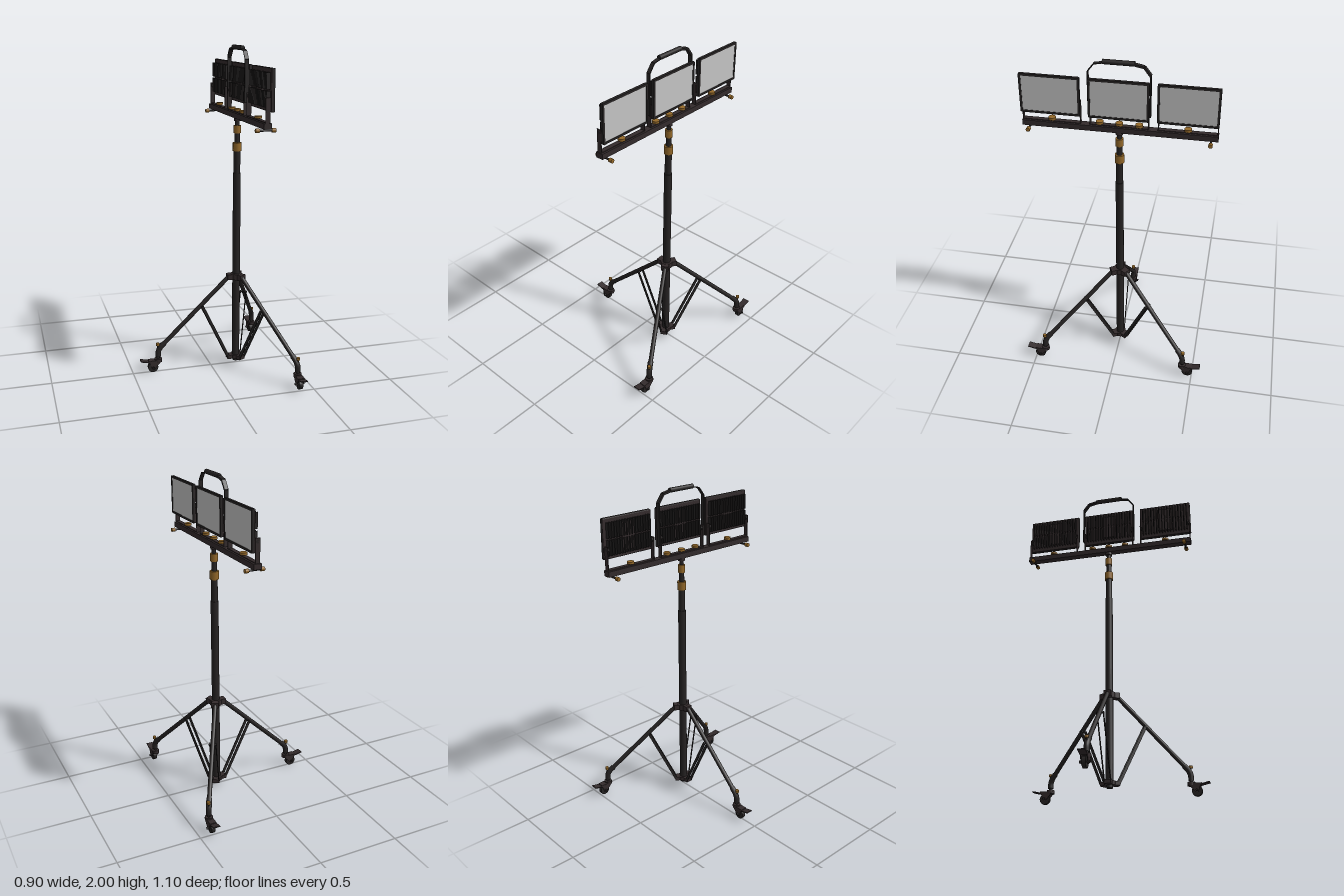
import * as THREE from 'three';
import { RoundedBoxGeometry } from 'three/addons/geometries/RoundedBoxGeometry.js';

const material = (name, color, side = THREE.FrontSide) => {
  const m = new THREE.MeshStandardMaterial({ color, side });
  m.name = name;
  return m;
};
const black = material('black metal', 0x262323);
const brown = material('dark bracket', 0x332b2c);
const brass = material('brass knob', 0x94692a);
const glass = material('lamp glass', 0xc6c6c6);

const V = (x, y, z) => new THREE.Vector3(x, y, z);

function add(parent, name, geometry, mat, x = 0, y = 0, z = 0) {
  const mesh = new THREE.Mesh(geometry, mat);
  mesh.name = name;
  mesh.position.set(x, y, z);
  parent.add(mesh);
  return mesh;
}
const box = (p, name, mat, w, h, d, x, y, z) => add(p, name, new THREE.BoxGeometry(w, h, d), mat, x, y, z);

// Upright cylinder between two heights
const post = (p, name, mat, r, y0, y1, x = 0, z = 0, sides = 20) =>
  add(p, name, new THREE.CylinderGeometry(r, r, y1 - y0, sides), mat, x, (y0 + y1) / 2, z);

// Straight member from a to b, round or flat
function member(p, name, mat, a, b, w, h = 0) {
  const len = a.distanceTo(b);
  const g = h ? new THREE.BoxGeometry(w, h, len)
    : new THREE.CylinderGeometry(w, w, len, 14).rotateX(Math.PI / 2);
  const mesh = new THREE.Mesh(g, mat);
  mesh.name = name;
  mesh.position.copy(a).lerp(b, 0.5);
  mesh.lookAt(b);
  p.add(mesh);
}

// Wheel, fork and brake, rolling outward along +z
function caster() {
  const g = new THREE.Group();
  g.name = 'caster';
  post(g, 'swivelPlate', brown, 0.024, 0.066, 0.088);
  post(g, 'swivelStem', black, 0.01, 0.085, 0.11);
  const wheel = new THREE.CylinderGeometry(0.032, 0.032, 0.022, 20).rotateZ(Math.PI / 2);
  add(g, 'wheel', wheel, black, 0, 0.034, 0.034);
  const axle = new THREE.CylinderGeometry(0.007, 0.007, 0.06, 10).rotateZ(Math.PI / 2);
  add(g, 'axle', axle, black, 0, 0.036, 0.034);
  // Tapered fork cheeks
  const cheek = new THREE.Shape([[-0.02, 0.078], [0.062, 0.078], [0.05, 0.05], [0.042, 0.024], [0.027, 0.024]]
    .map(([z, y]) => new THREE.Vector2(-z, y)));
  const cheekGeo = new THREE.ExtrudeGeometry(cheek, { depth: 0.005, bevelEnabled: false })
    .rotateY(Math.PI / 2).translate(-0.0025, 0, 0);
  for (const s of [-1, 1]) add(g, 'fork', cheekGeo, brown, s * 0.018, 0, 0);
  box(g, 'forkTop', brown, 0.04, 0.008, 0.075, 0, 0.076, 0.025);
  member(g, 'brakePedal', brown, V(0, 0.07, 0.055), V(0, 0.083, 0.112), 0.042, 0.006);
  return g;
}

// One tripod leg, pointing outward along local +z
function leg(angle, casterAngle) {
  const g = new THREE.Group();
  g.name = 'leg';
  g.rotation.y = angle;
  box(g, 'upperHinge', brown, 0.045, 0.034, 0.06, 0, 0.583, 0.03);
  box(g, 'lowerHinge', brown, 0.045, 0.024, 0.058, 0, 0.048, 0.029);
  member(g, 'legTube', black, V(0, 0.585, 0.045), V(0, 0.165, 0.485), 0.0135);
  const bend = new THREE.CatmullRomCurve3([V(0, 0.185, 0.464), V(0, 0.16, 0.49), V(0, 0.133, 0.504), V(0, 0.1, 0.506)]);
  add(g, 'footBend', new THREE.TubeGeometry(bend, 12, 0.017, 12), black);
  post(g, 'footCap', black, 0.017, 0.099, 0.103, 0, 0.506);
  post(g, 'knobStem', black, 0.004, 0.13, 0.175, 0, 0.508, 8);
  post(g, 'footKnob', brass, 0.011, 0.173, 0.188, 0, 0.508, 12);
  // Paired flat braces with a cross pin
  for (const s of [-1, 1]) {
    member(g, 'brace', black, V(s * 0.019, 0.045, 0.05), V(s * 0.019, 0.41, 0.225), 0.004, 0.018);
  }
  member(g, 'bracePin', black, V(-0.024, 0.403, 0.222), V(0.024, 0.403, 0.222), 0.006);
  const c = caster();
  c.position.z = 0.506;
  c.rotation.y = casterAngle - angle;
  g.add(c);
  return g;
}

// Flood lamp facing +x, coordinates relative to the mast axis
function lamp(z) {
  const g = new THREE.Group();
  g.name = 'lamp';
  g.position.z = z;
  const W = 0.335, H = 0.232, y = 1.78;
  add(g, 'housing', new RoundedBoxGeometry(0.012, H, W, 2, 0.005), brown, 0.022, y, 0);
  // Raised rim around the glass
  for (const s of [-1, 1]) {
    box(g, 'rimSide', black, 0.013, H - 0.008, 0.013, 0.029, y, s * (W / 2 - 0.0065));
    box(g, 'rimEdge', black, 0.013, 0.013, W - 0.008, 0.029, y + s * (H / 2 - 0.0065), 0);
  }
  box(g, 'glass', glass, 0.004, H - 0.024, W - 0.024, 0.031, y, 0);
  // Cooling fins with a break across the middle
  const fins = 17;
  for (let i = 0; i < fins; i++) {
    const fz = (i / (fins - 1) - 0.5) * 0.29;
    for (const s of [-1, 1]) box(g, 'coolingFin', black, 0.024, 0.088, 0.005, 0.005, y + s * 0.049, fz);
  }
  box(g, 'driverBox', brown, 0.014, 0.16, 0.09, 0.01, y, 0);
  // U bracket
  box(g, 'bracketBase', brown, 0.028, 0.004, 0.326, 0, 1.61, 0);
  for (const s of [-1, 1]) {
    box(g, 'bracketArm', brown, 0.028, 0.135, 0.004, 0, 1.675, s * 0.162);
    const pivot = new THREE.CylinderGeometry(0.011, 0.011, 0.012, 12).rotateX(Math.PI / 2);
    add(g, 'bracketPivot', pivot, black, 0, 1.725, s * 0.158);
  }
  return g;
}

function wingKnob(p, z) {
  post(p, 'clampStem', brass, 0.009, 1.606, 1.618, 0, z, 12);
  post(p, 'clampKnob', brass, 0.021, 1.615, 1.629, 0, z, 16);
}

export function createModel() {
  const root = new THREE.Group();
  root.name = 'tripodWorkLight';
  const body = new THREE.Group();
  body.name = 'lightStand';
  body.position.x = 0.165;
  root.add(body);

  // Telescopic mast
  post(body, 'mastFoot', black, 0.02, 0.02, 0.05);
  post(body, 'lowerMast', black, 0.0235, 0.035, 1.24);
  post(body, 'upperMast', black, 0.02, 1.24, 1.38);
  post(body, 'lowerCollar', brass, 0.027, 1.375, 1.426, 0, 0, 12);
  post(body, 'innerMast', black, 0.016, 1.42, 1.49);
  post(body, 'upperCollar', brass, 0.0225, 1.483, 1.53, 0, 0, 12);
  post(body, 'mastHead', black, 0.013, 1.525, 1.575);
  post(body, 'headFlange', brown, 0.021, 1.556, 1.576);
  post(body, 'upperHub', brown, 0.036, 0.565, 0.601);
  post(body, 'lowerHub', brown, 0.036, 0.036, 0.06);

  // Legs
  body.add(leg(-Math.PI / 2, -Math.PI / 2), leg(Math.PI / 6, 0), leg(Math.PI * 5 / 6, Math.PI));

  // Crossbar with end bolts
  box(body, 'crossbar', brown, 0.045, 0.032, 1.09, 0, 1.59, 0);
  for (const s of [-1, 1]) {
    const z = s * 0.506;
    member(body, 'endBolt', black, V(-0.05, 1.564, z), V(0.05, 1.564, z), 0.006);
    for (const e of [-1, 1]) {
      member(body, 'endKnob', brass, V(e * 0.036, 1.564, z), V(e * 0.058, 1.564, z), 0.012);
    }
  }

  // Lamps and their clamps
  for (const z of [-0.378, 0, 0.378]) {
    body.add(lamp(z));
    wingKnob(body, z);
  }
  for (const z of [-0.11, 0.11]) wingKnob(body, z);

  // Carry handle: flat straps bent up to a round grip
  const strap = [[0.17, 1.68], [0.17, 1.925], [0.135, 1.972], [0.08, 1.983]];
  for (const s of [-1, 1]) {
    for (let i = 0; i < 3; i++) {
      const [z0, y0] = strap[i], [z1, y1] = strap[i + 1];
      const t = s < 0 && i > 0 ? 0.012 : 0.005;
      if (i === 0) box(body, 'handleStrap', black, 0.024, y1 - y0, t + 0.002, 0, (y0 + y1) / 2, s * z0);
      else member(body, 'handleStrap', black, V(0, y0, s * z0), V(0, y1, s * z1), 0.024, t);
    }
  }
  member(body, 'handleGrip', black, V(0, 1.986, -0.085), V(0, 1.986, 0.09), 0.014);

  return root;
}
